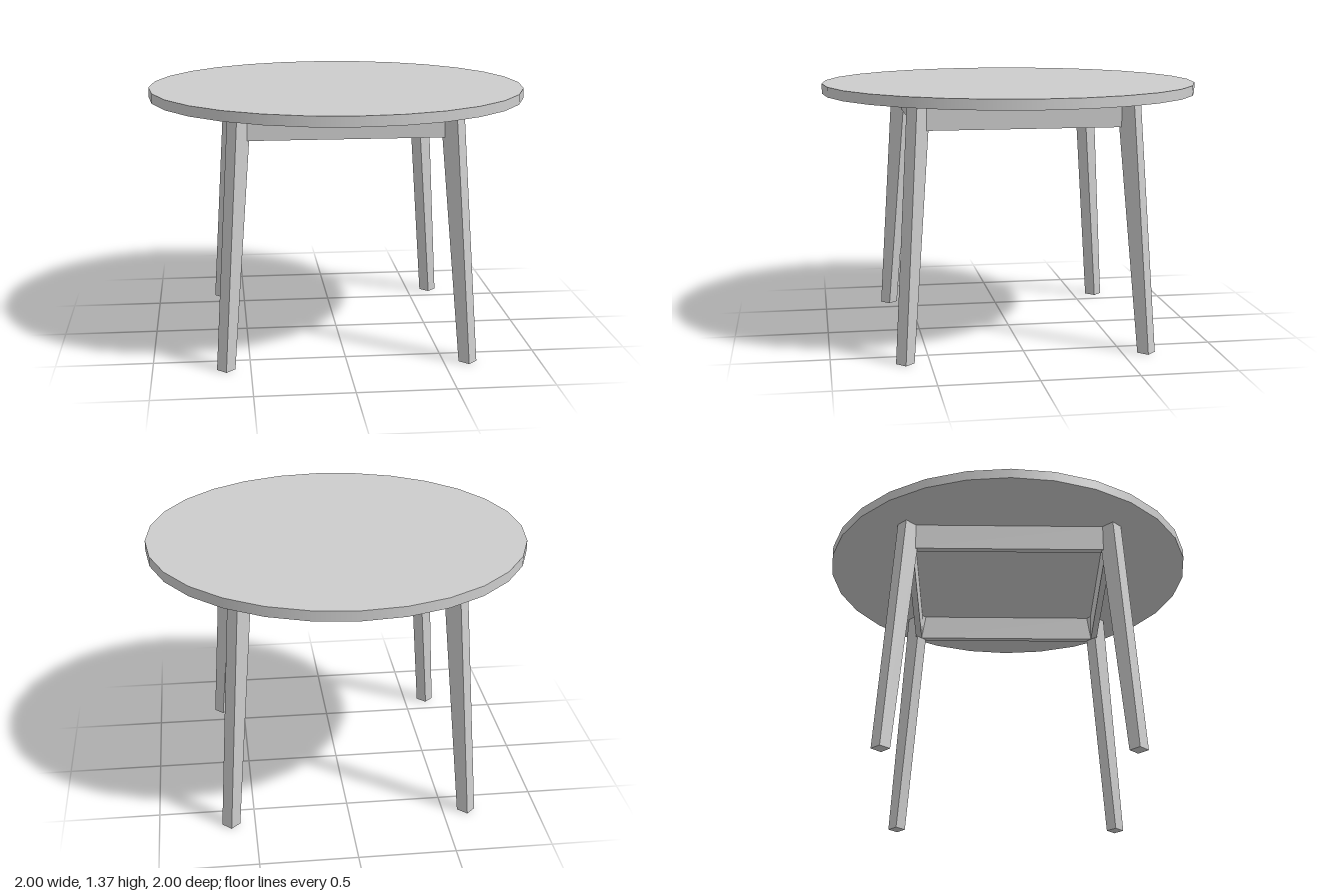
import * as THREE from 'three';

const APRON_LOW = 1.17, TOP_LOW = 1.312, TOP_HIGH = 1.365;

// Splayed leg: constant width, deeper at the top, local +x points outward
function legGeometry() {
  const width = 0.0665;
  const foot = { inner: 0.852, outer: 0.9185 };
  const head = { inner: 0.7065, outer: 0.807 };
  const geo = new THREE.BoxGeometry(1, TOP_LOW, width);
  geo.translate(0, TOP_LOW / 2, 0);
  const p = geo.attributes.position;
  for (let i = 0; i < p.count; i++) {
    const end = p.getY(i) > 0.5 ? head : foot;
    p.setX(i, p.getX(i) > 0 ? end.outer : end.inner);
  }
  geo.computeVertexNormals();
  return geo;
}

export function createModel() {
  const model = new THREE.Group();
  model.name = 'roundTable';
  const grey = new THREE.MeshStandardMaterial({ color: 0xcccccc });
  grey.name = 'light grey';

  // Round table top
  const topGeo = new THREE.CylinderGeometry(1, 1, TOP_HIGH - TOP_LOW, 28);
  topGeo.translate(0, (TOP_HIGH + TOP_LOW) / 2, 0);
  const top = new THREE.Mesh(topGeo, grey);
  top.name = 'tableTop';
  model.add(top);

  // Four legs on the diagonals and four apron rails between them
  const legGeo = legGeometry();
  const railGeo = new THREE.BoxGeometry(1.06, TOP_LOW - APRON_LOW, 0.034);
  railGeo.translate(0, (TOP_LOW + APRON_LOW) / 2, 0.527);
  const names = ['front', 'left', 'back', 'right'];
  const corners = ['frontLeft', 'backLeft', 'backRight', 'frontRight'];
  for (let i = 0; i < 4; i++) {
    const leg = new THREE.Mesh(legGeo, grey);
    leg.name = corners[i] + 'Leg';
    leg.rotation.y = -Math.PI / 4 + i * Math.PI / 2;
    const rail = new THREE.Mesh(railGeo, grey);
    rail.name = names[i] + 'Apron';
    rail.rotation.y = i * Math.PI / 2;
    model.add(leg, rail);
  }
  return model;
}
